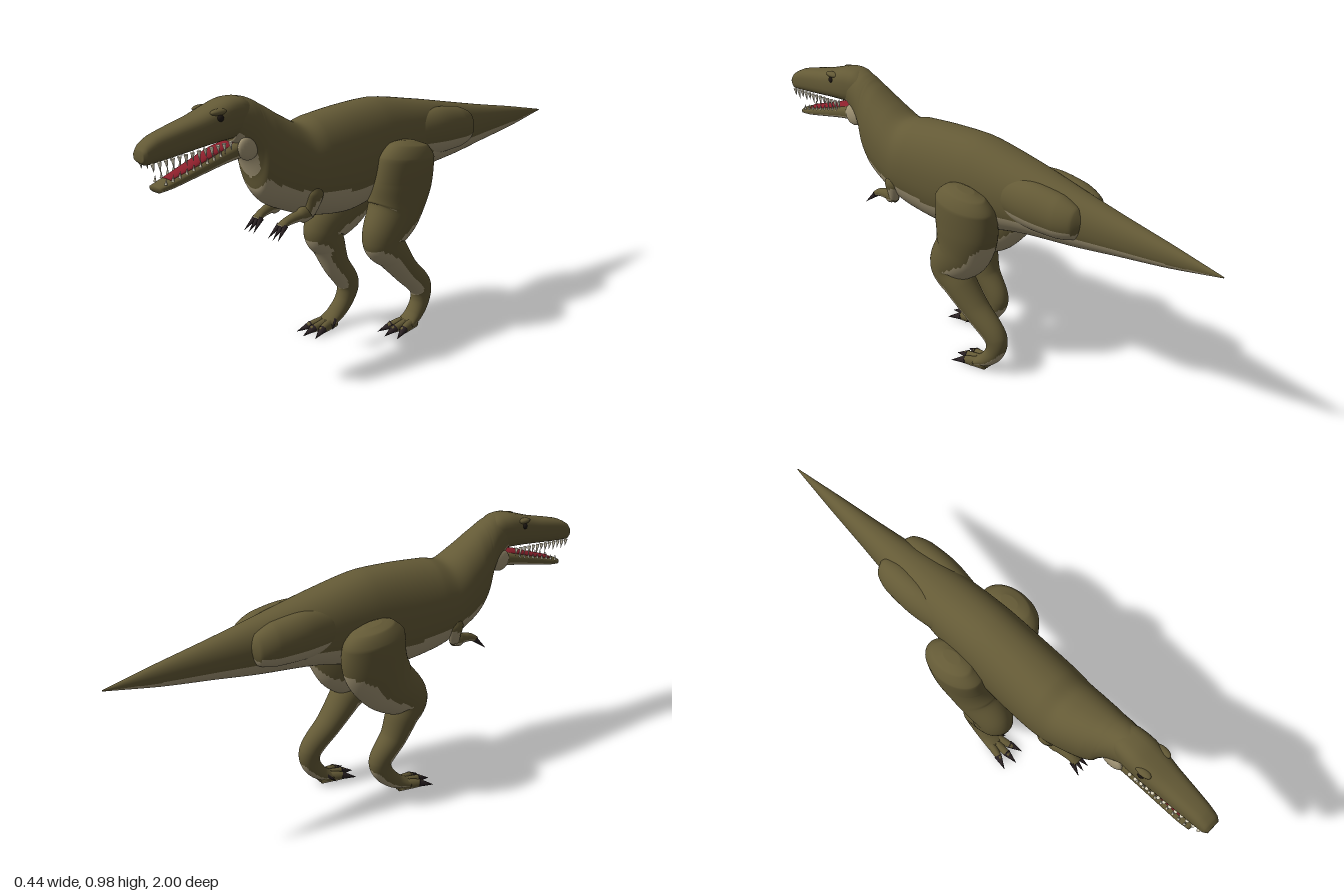
import * as THREE from 'three';

const flat = (name, color) => {
  const m = new THREE.MeshStandardMaterial({ color });
  m.name = name;
  return m;
};

export function createModel() {
  const model = new THREE.Group();
  model.name = 'dinosaur';
  const skin = flat('olive skin', 0x645a36);
  const pale = flat('pale underside', 0xa39676);
  const red = flat('mouth red', 0x8c1f2b);
  const ivory = flat('tooth ivory', 0xe6dec6);
  const horn = flat('claw horn', 0x2b2224);
  const dark = flat('eye dark', 0x1c1612);

  // Smooth skin over sections [x, y, z, halfWidth, halfDepth].
  // Faces that point downward take the "under" material.
  function loft(name, sections, { upright = false, box = 1, steps = 4, seg = 32, under = pale, parent = model } = {}) {
    const centres = new THREE.CatmullRomCurve3(sections.map(s => new THREE.Vector3(s[0], s[1], s[2])));
    const radii = new THREE.CatmullRomCurve3(sections.map(s => new THREE.Vector3(s[3], s[4], 0)));
    const n = (sections.length - 1) * steps;
    const X = new THREE.Vector3(1, 0, 0);
    const pts = [];
    const power = v => Math.sign(v) * Math.abs(v) ** box;
    const ring = (t, k) => {
      const c = centres.getPoint(t), r = radii.getPoint(t).multiplyScalar(k);
      const T = upright ? new THREE.Vector3(0, 0, 1) : centres.getTangent(t).setX(0).normalize();
      const N = T.cross(X);
      for (let j = 0; j < seg; j++) {
        const a = (j / seg) * Math.PI * 2;
        pts.push(c.clone().addScaledVector(X, r.x * power(Math.cos(a))).addScaledVector(N, r.y * power(Math.sin(a))));
      }
    };
    ring(0, 0.001);
    for (let i = 0; i <= n; i++) ring(i / n, 1);
    ring(1, 0.001);
    const top = [], low = [];
    for (let i = 0; i < n + 2; i++) {
      for (let j = 0; j < seg; j++) {
        const k = (j + 1) % seg;
        const a = i * seg + j, b = i * seg + k, c = b + seg, d = a + seg;
        const normal = pts[c].clone().sub(pts[a]).cross(pts[d].clone().sub(pts[b])).normalize();
        (normal.y < -0.28 ? low : top).push(a, b, c, a, c, d);
      }
    }
    const geo = new THREE.BufferGeometry().setFromPoints(pts);
    geo.setIndex([...top, ...low]);
    geo.addGroup(0, top.length, 0);
    geo.addGroup(top.length, low.length, 1);
    geo.computeVertexNormals();
    const mesh = new THREE.Mesh(geo, [skin, under]);
    mesh.name = name;
    parent.add(mesh);
    return mesh;
  }

  // Cone from a base point to a tip: teeth and claws
  function spike(name, from, to, r, mat, parent) {
    const a = new THREE.Vector3(...from), d = new THREE.Vector3(...to).sub(a);
    const mesh = new THREE.Mesh(new THREE.ConeGeometry(r, d.length(), 8), mat);
    mesh.position.copy(a).addScaledVector(d, 0.5);
    mesh.quaternion.setFromUnitVectors(new THREE.Vector3(0, 1, 0), d.normalize());
    mesh.name = name;
    parent.add(mesh);
  }

  // Stretched sphere
  function ball(name, p, s, mat) {
    const mesh = new THREE.Mesh(new THREE.SphereGeometry(1, 20, 14), mat);
    mesh.position.set(...p);
    mesh.scale.set(...s);
    mesh.name = name;
    model.add(mesh);
  }

  // Section given as z, top, bottom, half width
  const slice = ([z, top, bottom, w]) => [0, (top + bottom) / 2, z, w, (top - bottom) / 2];

  // Tail, trunk and neck
  loft('body', [
    [-1, 0.702, 0.698, 0.002], [-0.8, 0.743, 0.66, 0.028], [-0.6, 0.78, 0.632, 0.052],
    [-0.45, 0.81, 0.61, 0.072], [-0.2, 0.86, 0.582, 0.108], [0, 0.893, 0.53, 0.122],
    [0.15, 0.888, 0.5, 0.126], [0.3, 0.873, 0.515, 0.127], [0.37, 0.86, 0.535, 0.122],
    [0.44, 0.893, 0.562, 0.112], [0.51, 0.936, 0.598, 0.098], [0.55, 0.96, 0.645, 0.086],
    [0.566, 0.968, 0.705, 0.079], [0.59, 0.978, 0.765, 0.071], [0.62, 0.984, 0.8, 0.064],
    [0.66, 0.98, 0.84, 0.058],
  ].map(slice), { upright: true, seg: 80, steps: 8, box: 0.93 });

  // Skull and upper jaw
  loft('head', [
    [0.575, 0.963, 0.865, 0.048], [0.62, 0.985, 0.852, 0.06], [0.67, 0.985, 0.85, 0.064], [0.73, 0.968, 0.846, 0.062],
    [0.8, 0.945, 0.838, 0.054], [0.88, 0.925, 0.828, 0.047], [0.95, 0.905, 0.82, 0.04],
    [0.985, 0.885, 0.818, 0.035], [1, 0.865, 0.83, 0.026],
  ].map(slice), { upright: true, box: 0.72, under: skin });

  // Lower jaw and tongue
  loft('lowerJaw', [
    [0, 0.82, 0.58, 0.058, 0.035], [0, 0.802, 0.68, 0.052, 0.027], [0, 0.77, 0.8, 0.044, 0.02],
    [0, 0.743, 0.9, 0.037, 0.015], [0, 0.733, 0.945, 0.03, 0.011],
  ], { box: 0.7 });
  const tongue = loft('tongue', [
    [0, 0.828, 0.6, 0.034, 0.02], [0, 0.818, 0.7, 0.034, 0.016],
    [0, 0.787, 0.8, 0.031, 0.013], [0, 0.756, 0.9, 0.023, 0.009],
  ]);
  tongue.material = red;

  // Teeth
  const teeth = new THREE.Group();
  teeth.name = 'teeth';
  model.add(teeth);
  for (const s of [-1, 1]) {
    for (let i = 0; i < 13; i++) {
      const z = 0.69 + i * 0.0235;
      const w = 0.058 - (z - 0.69) * 0.088;
      const y = 0.852 - (z - 0.69) * 0.095;
      spike('upperTooth', [s * w, y, z], [s * w, y - 0.03 - 0.008 * (i % 2), z - 0.004], 0.007, ivory, teeth);
    }
    for (let i = 0; i < 9; i++) {
      const z = 0.72 + i * 0.0255;
      const w = 0.044 - (z - 0.72) * 0.07;
      const y = 0.805 - (z - 0.72) * 0.28;
      spike('lowerTooth', [s * w, y, z], [s * w, y + 0.023, z - 0.002], 0.005, ivory, teeth);
    }
  }

  // Cheeks, brows, eyes and tail-base muscles
  for (const s of [-1, 1]) {
    ball('cheek', [s * 0.052, 0.818, 0.612], [0.016, 0.042, 0.044], pale);
    ball('brow', [s * 0.048, 0.952, 0.725], [0.015, 0.011, 0.032], skin);
    ball('eye', [s * 0.056, 0.933, 0.725], [0.01, 0.012, 0.013], dark);
    loft('tailMuscle', [
      [s * 0.05, 0.725, -0.49, 0.01, 0.02], [s * 0.058, 0.725, -0.465, 0.04, 0.058],
      [s * 0.06, 0.73, -0.4, 0.06, 0.08], [s * 0.062, 0.735, -0.29, 0.062, 0.088],
      [s * 0.055, 0.735, -0.18, 0.056, 0.08], [s * 0.045, 0.735, -0.08, 0.03, 0.04],
    ], { upright: true, steps: 8, seg: 48 });
  }

  // Legs: the right one strides forward
  const legSections = [
    [0.145, 0.75, -0.045, 0.02, 0.035], [0.147, 0.736, -0.043, 0.05, 0.085], [0.142, 0.69, -0.038, 0.078, 0.124],
    [0.126, 0.59, -0.032, 0.088, 0.13], [0.114, 0.49, -0.005, 0.087, 0.115], [0.118, 0.392, 0.056, 0.068, 0.082],
    [0.118, 0.33, 0.008, 0.062, 0.064], [0.113, 0.25, -0.063, 0.052, 0.051], [0.108, 0.155, -0.156, 0.04, 0.046],
    [0.108, 0.1, -0.155, 0.035, 0.038], [0.108, 0.05, -0.12, 0.036, 0.03], [0.108, 0.024, -0.075, 0.04, 0.018],
  ];
  const stride = [0, 0, 0, 0.01, 0.04, 0.075, 0.1, 0.14, 0.175, 0.19, 0.205, 0.215];
  for (const s of [-1, 1]) {
    const leg = new THREE.Group();
    leg.name = s > 0 ? 'leftLeg' : 'rightLeg';
    model.add(leg);
    const shift = i => (s < 0 ? stride[i] : 0);
    loft('legMuscle', legSections.map(([x, y, z, w, d], i) => [s * x, y, z + shift(i), w, d]),
      { parent: leg, seg: 64, steps: 10 });
    const z0 = shift(11);
    for (const k of [-1, 0, 1]) {
      const x = s * 0.108, reach = k ? 0 : 0.015;
      loft('toe', [
        [x + k * 0.014, 0.026, -0.115 + z0, 0.018, 0.024], [x + k * 0.025, 0.022, -0.06 + z0, 0.017, 0.02],
        [x + k * 0.034, 0.018, -0.025 + reach + z0, 0.012, 0.014], [x + k * 0.036, 0.016, -0.015 + reach + z0, 0.007, 0.008],
      ], { parent: leg, seg: 14 });
      spike('toeClaw', [x + k * 0.033, 0.021, -0.035 + reach + z0], [x + k * 0.052, 0.003, 0.022 + reach + z0], 0.016, horn, leg);
    }
    spike('dewClaw', [s * 0.08, 0.04, -0.1 + z0], [s * 0.058, 0.012, -0.07 + z0], 0.01, horn, leg);
  }

  // Small arms with three claws
  for (const s of [-1, 1]) {
    const arm = new THREE.Group();
    arm.name = s > 0 ? 'leftArm' : 'rightArm';
    model.add(arm);
    loft('upperArm', [
      [s * 0.104, 0.65, 0.365, 0.012, 0.02], [s * 0.102, 0.62, 0.367, 0.021, 0.032],
      [s * 0.092, 0.58, 0.372, 0.02, 0.026], [s * 0.08, 0.545, 0.38, 0.018, 0.018],
    ], { parent: arm, seg: 24 });
    loft('forearm', [
      [s * 0.08, 0.553, 0.37, 0.019, 0.02], [s * 0.075, 0.55, 0.42, 0.019, 0.02],
      [s * 0.067, 0.538, 0.47, 0.017, 0.015], [s * 0.064, 0.525, 0.495, 0.02, 0.011],
    ], { parent: arm, seg: 24 });
    for (const k of [-1, 0, 1]) {
      const x = s * 0.064 + k * 0.014;
      spike('handClaw', [x, 0.528, 0.485], [x + k * 0.012, 0.485, 0.53], 0.011, horn, arm);
    }
  }
  return model;
}
